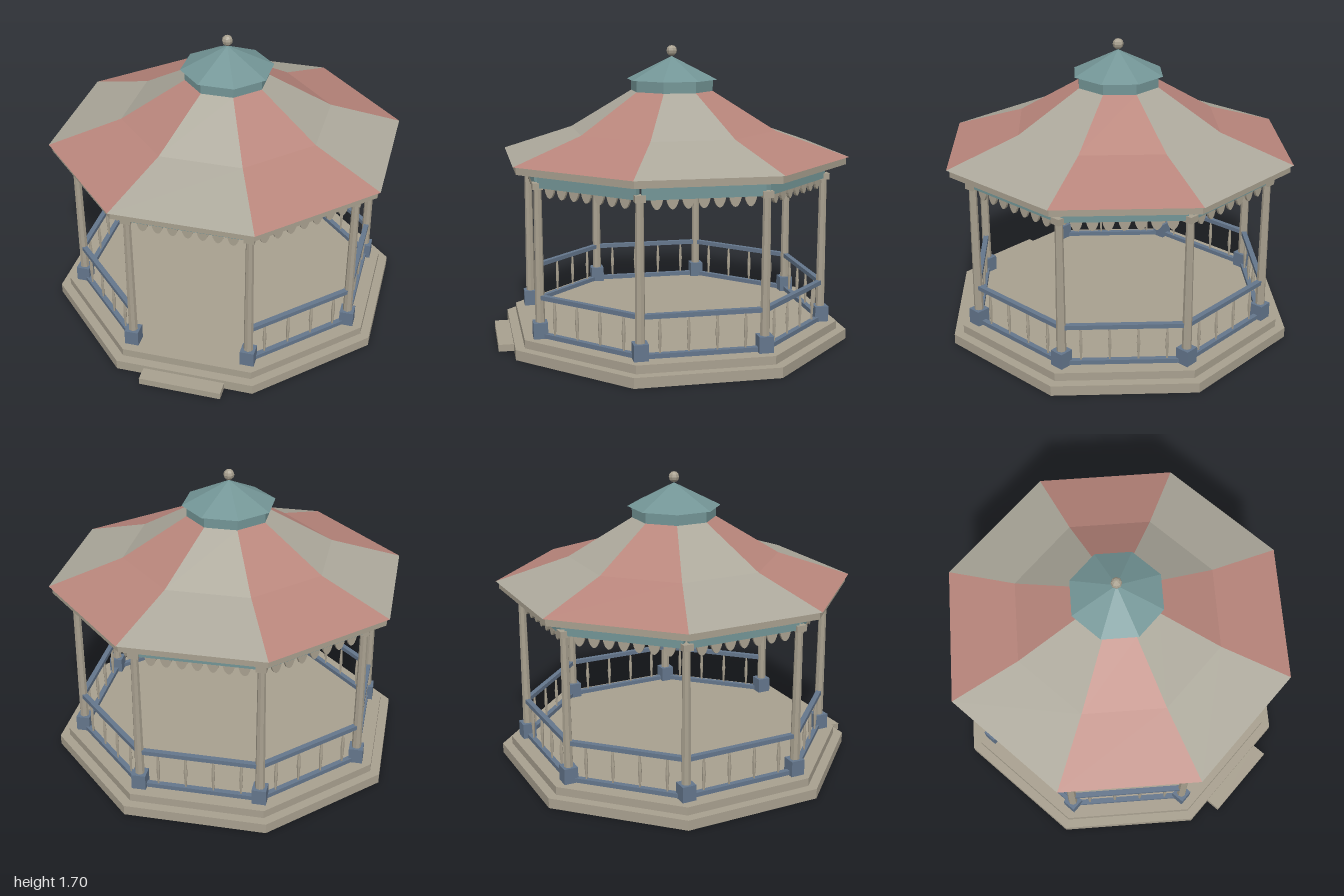
import * as THREE from 'three';

const SIDE = Math.PI / 4;
const COS = Math.cos(SIDE / 2);
const POST_APOTHEM = 0.815;

function material(name, color, side = THREE.FrontSide) {
  const m = new THREE.MeshStandardMaterial({ color, flatShading: true, side });
  m.name = name;
  return m;
}

export function createModel() {
  const stone = material('warm stone', 0xa8a08f);
  const cream = material('cream roof', 0xaca89b, THREE.DoubleSide);
  const red = material('faded red roof', 0xb8857b, THREE.DoubleSide);
  const teal = material('teal', 0x739596);
  const blue = material('slate blue', 0x64768c);

  const root = new THREE.Group();
  root.name = 'bandstand';
  const body = new THREE.Group();
  body.name = 'pavilion';
  body.position.z = -0.043;
  root.add(body);

  function add(parent, name, geometry, mat, x = 0, y = 0, z = 0) {
    const mesh = new THREE.Mesh(geometry, mat);
    mesh.name = name;
    mesh.position.set(x, y, z);
    parent.add(mesh);
    return mesh;
  }

  // Octagonal prism or frustum, measured to the middle of its sides
  function octagon(name, bottom, top, y0, y1, mat) {
    const g = new THREE.CylinderGeometry(top / COS, bottom / COS, y1 - y0, 8, 1, false, -SIDE / 2);
    return add(body, name, g, mat, 0, (y0 + y1) / 2, 0);
  }

  // Stepped floor and entrance step
  octagon('lowerPlinth', 0.957, 0.957, 0, 0.058, stone);
  octagon('floor', 0.905, 0.905, 0.058, 0.105, stone);
  add(root, 'entranceStep', new THREE.BoxGeometry(0.47, 0.04, 0.086), stone, 0, 0.02, 0.957);

  // Shared post and railing geometry
  const footGeo = new THREE.BoxGeometry(0.08, 0.09, 0.08);
  const shaftGeo = new THREE.CylinderGeometry(0.022, 0.027, 0.76, 8);
  const capitalGeo = new THREE.BoxGeometry(0.058, 0.036, 0.058);
  const railGeo = new THREE.BoxGeometry(0.65, 0.025, 0.03);
  const beamGeo = new THREE.BoxGeometry(0.655, 0.083, 0.03);
  const balusterGeo = new THREE.LatheGeometry([
    [0.005, 0.13], [0.011, 0.23], [0.005, 0.328],
  ].map(([r, y]) => new THREE.Vector2(r, y)), 6);

  // Tapering drop of the scalloped trim
  const drop = new THREE.Shape();
  drop.moveTo(-0.034, 0.01);
  drop.lineTo(-0.034, 0);
  drop.bezierCurveTo(-0.02, -0.076, 0.02, -0.076, 0.034, 0);
  drop.lineTo(0.034, 0.01);
  const dropGeo = new THREE.ExtrudeGeometry(drop, { depth: 0.014, bevelEnabled: false, curveSegments: 8 });
  dropGeo.translate(0, 0, -0.007);

  for (let i = 0; i < 8; i++) {
    // Corner post, its square blocks all facing the front
    const post = new THREE.Group();
    post.name = 'post';
    const r = POST_APOTHEM / COS;
    const angle = (i + 0.5) * SIDE;
    post.position.set(r * Math.sin(angle), 0, r * Math.cos(angle));
    body.add(post);
    add(post, 'postFoot', footGeo, blue, 0, 0.15, 0);
    add(post, 'postShaft', shaftGeo, stone, 0, 0.57, 0);
    add(post, 'postCapital', capitalGeo, stone, 0, 0.96, 0);

    // Beam and scalloped trim over each bay
    const bay = new THREE.Group();
    bay.name = 'bay';
    bay.rotation.y = i * SIDE;
    body.add(bay);
    add(bay, 'beam', beamGeo, teal, 0, 0.9925, POST_APOTHEM);
    for (let k = 0; k < 7; k++) {
      add(bay, 'scallop', dropGeo, stone, (k - 3) * 0.083, 0.955, POST_APOTHEM);
    }

    // Railing, left out at the entrance
    if (i > 0) {
      add(bay, 'topRail', railGeo, blue, 0, 0.336, POST_APOTHEM);
      add(bay, 'bottomRail', railGeo, blue, 0, 0.121, POST_APOTHEM);
      for (let k = 0; k < 4; k++) {
        add(bay, 'baluster', balusterGeo, stone, (k - 1.5) * 0.155, 0, POST_APOTHEM);
      }
    }
  }

  // Eave slab
  octagon('eave', 0.932, 0.932, 1.031, 1.073, stone);

  // Two-pitch roof in alternating panels
  const profile = [[0.948, 1.073], [0.56, 1.213], [0.222, 1.435]];
  for (let t = 0; t < 2; t++) {
    const [r0, y0] = profile[t];
    const [r1, y1] = profile[t + 1];
    for (let i = 0; i < 8; i++) {
      const g = new THREE.CylinderGeometry(r1 / COS, r0 / COS, y1 - y0, 1, 1, true, (i - 0.5) * SIDE, SIDE);
      add(body, t ? 'upperRoofPanel' : 'lowerRoofPanel', g, i % 2 ? red : cream, 0, (y0 + y1) / 2, 0);
    }
  }

  // Lantern, cap and finial
  octagon('lantern', 0.222, 0.222, 1.43, 1.502, teal);
  octagon('lanternCap', 0.246, 0.0005, 1.5, 1.632, teal);
  add(body, 'finial', new THREE.SphereGeometry(0.031, 8, 6), stone, 0, 1.664, 0);

  return root;
}
